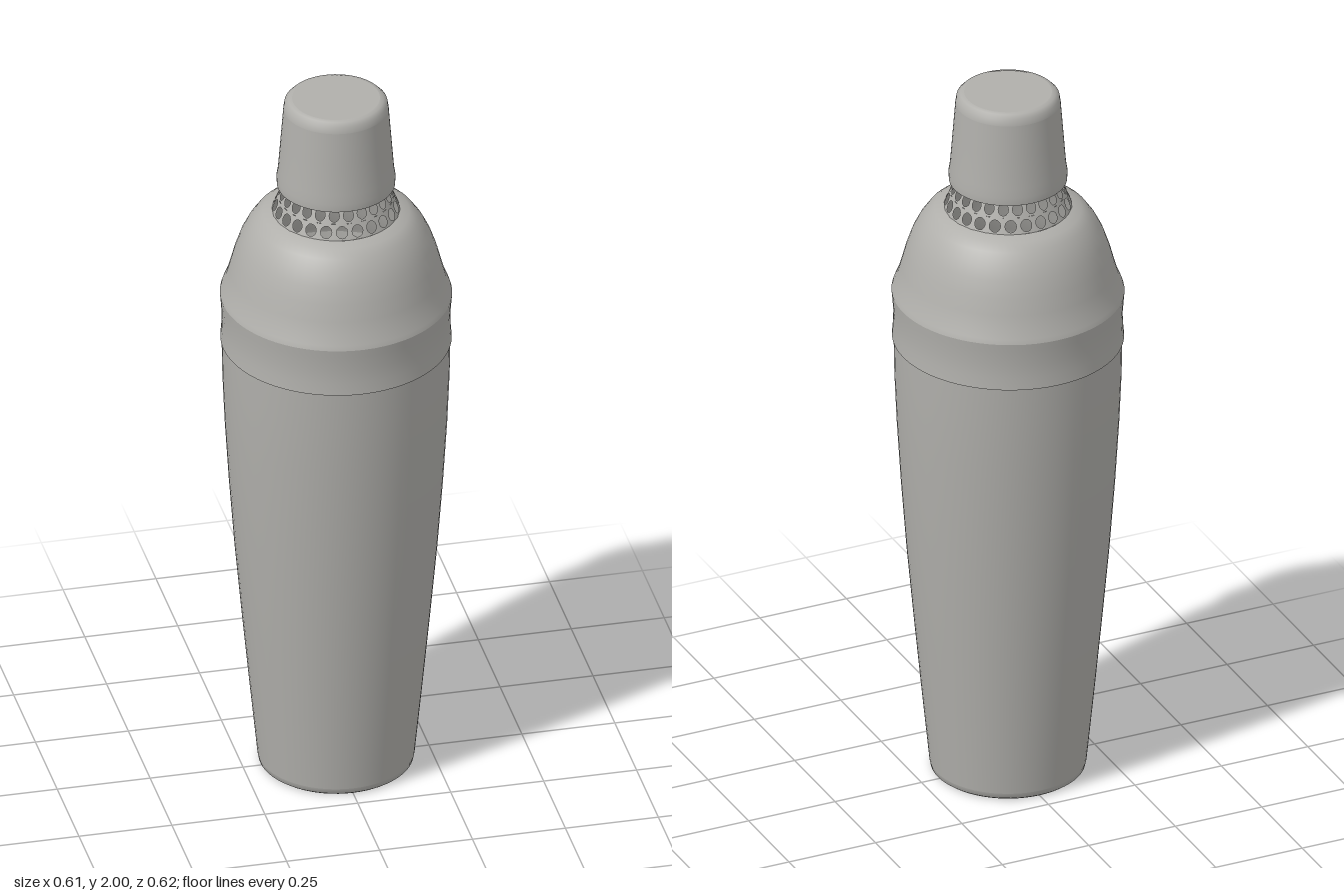
import * as THREE from 'three';
import { mergeGeometries } from 'three/addons/utils/BufferGeometryUtils.js';

const steel = new THREE.MeshStandardMaterial({ color: 0xb0afab, side: THREE.DoubleSide });
steel.name = 'brushed steel';

// Turned surface; each profile is smooth in itself, edges between profiles stay sharp
function turned(name, ...profiles) {
  const geos = profiles.map(p =>
    new THREE.LatheGeometry(p.map(([r, y]) => new THREE.Vector2(r, y)), 64));
  const mesh = new THREE.Mesh(mergeGeometries(geos), steel);
  mesh.name = name;
  return mesh;
}

// Sheet of staggered holes bent round a cone
function strainer(y0, y1, r0, r1, columns, rows) {
  const cells = [];
  for (let row = 0; row < rows; row++) {
    for (let col = 0; col < columns; col++) {
      const cell = new THREE.Shape([[0, 0], [1, 0], [1, 1], [0, 1]].map(c => new THREE.Vector2(...c)));
      const hole = new THREE.Path();
      hole.absellipse(0.5, 0.5, 0.36, 0.37, 0, Math.PI * 2, true);
      cell.holes.push(hole);
      const g = new THREE.ShapeGeometry(cell, 6);
      g.translate(col + (row % 2) / 2, row, 0);
      cells.push(g);
    }
  }
  const geo = mergeGeometries(cells);
  const pos = geo.attributes.position, nor = geo.attributes.normal;
  const slope = (r0 - r1) / (y1 - y0), len = Math.hypot(1, slope);
  for (let i = 0; i < pos.count; i++) {
    const a = pos.getX(i) / columns * Math.PI * 2, t = pos.getY(i) / rows;
    const r = r0 + (r1 - r0) * t;
    pos.setXYZ(i, r * Math.sin(a), y0 + (y1 - y0) * t, r * Math.cos(a));
    nor.setXYZ(i, Math.sin(a) / len, slope / len, Math.cos(a) / len);
  }
  const mesh = new THREE.Mesh(geo, steel);
  mesh.name = 'strainerNeck';
  return mesh;
}

export function createModel() {
  const model = new THREE.Group();
  model.name = 'cocktailShaker';

  // Tapered cup with a flat base
  model.add(turned('body',
    [[0, 0], [0.195, 0]],
    [[0.195, 0], [0.203, 0.006], [0.206, 0.02]],
    [[0.206, 0.02], [0.226, 0.22], [0.247, 0.44], [0.266, 0.65], [0.281, 0.85],
      [0.292, 1.03], [0.298, 1.17], [0.3, 1.28]]));

  const lid = new THREE.Group();
  lid.name = 'lid';
  lid.scale.z = 1.025;
  // Collar over the cup, then the domed shoulder
  lid.add(turned('collar',
    [[0.297, 1.277], [0.303, 1.277]],
    [[0.303, 1.277], [0.3, 1.31], [0.299, 1.35], [0.302, 1.39], [0.304, 1.412]]));
  lid.add(turned('shoulder',
    [[0.304, 1.412], [0.3, 1.425], [0.289, 1.45], [0.279, 1.485], [0.267, 1.53],
      [0.252, 1.573], [0.235, 1.607], [0.214, 1.637], [0.192, 1.655], [0.165, 1.664]]));
  model.add(lid);

  model.add(strainer(1.663, 1.745, 0.168, 0.135, 24, 2));

  // Small cap with a rounded top edge
  model.add(turned('cap',
    [[0.13, 1.743], [0.155, 1.743]],
    [[0.155, 1.743], [0.156, 1.765], [0.152, 1.79], [0.145, 1.88], [0.138, 1.97]],
    [[0.138, 1.97], [0.135, 1.988], [0.125, 1.998], [0.115, 2]],
    [[0.115, 2], [0, 2]]));

  return model;
}
